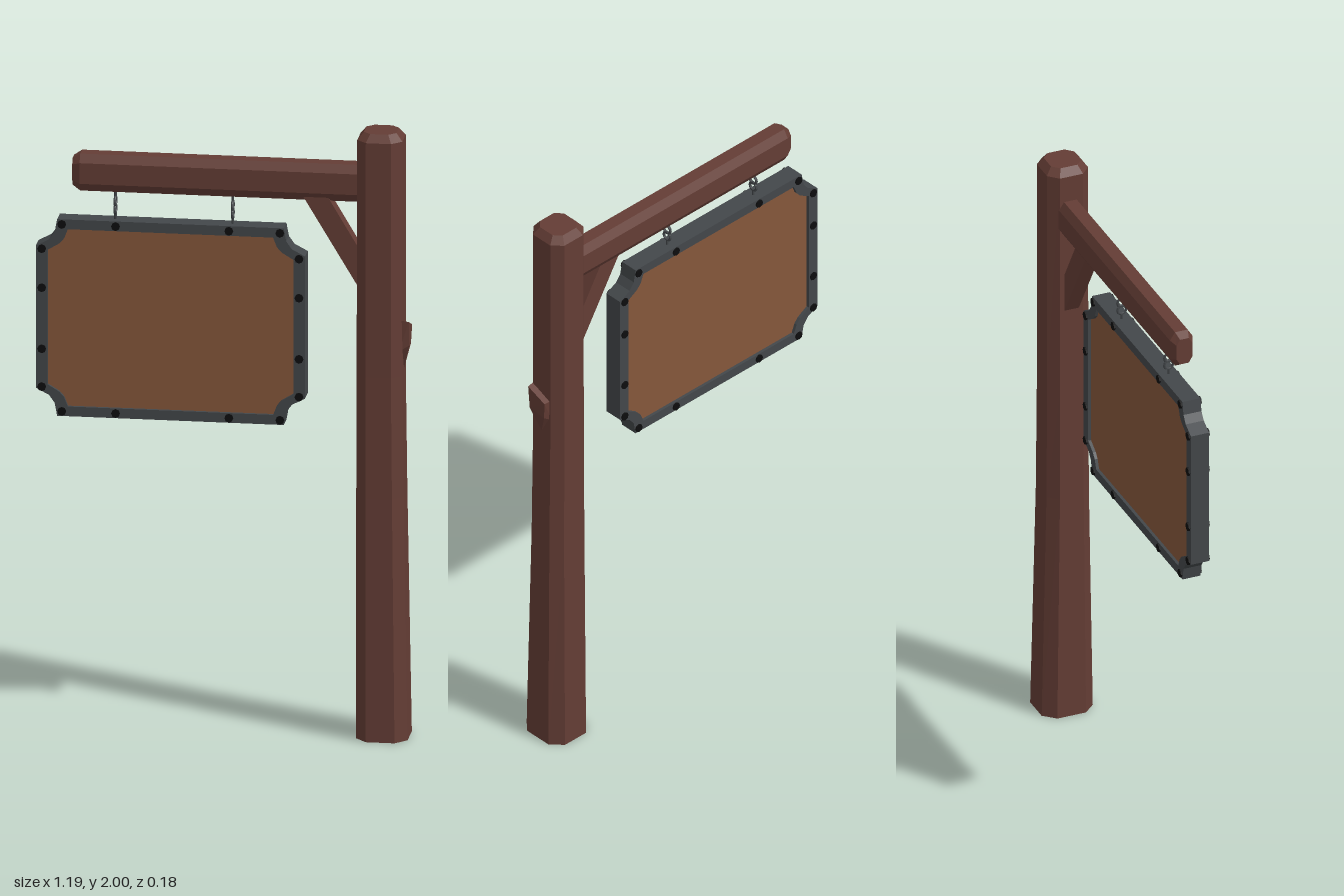
import * as THREE from 'three';
import { ConvexGeometry } from 'three/addons/geometries/ConvexGeometry.js';

const material = (name, color, flatShading = true) =>
  Object.assign(new THREE.MeshStandardMaterial({ color, flatShading }), { name });

// Eight-sided log along y; each ring is [y, centreX, halfX, halfZ]
function log(rings) {
  const loops = rings.map(([y, cx, rx, rz]) => {
    const k = 0.56;
    return [[1, -k], [k, -1], [-k, -1], [-1, -k], [-1, k], [-k, 1], [k, 1], [1, k]]
      .map(([x, z]) => [cx + x * rx, y, z * rz]);
  });
  const v = [];
  const tri = (a, b, c) => v.push(...a, ...b, ...c);
  for (let r = 0; r + 1 < loops.length; r++) {
    for (let i = 0; i < 8; i++) {
      const j = (i + 1) % 8, lo = loops[r], hi = loops[r + 1];
      tri(lo[i], lo[j], hi[j]);
      tri(lo[i], hi[j], hi[i]);
    }
  }
  const first = loops[0], last = loops[loops.length - 1];
  for (let i = 1; i < 7; i++) {
    tri(first[0], first[i + 1], first[i]);
    tri(last[0], last[i], last[i + 1]);
  }
  const g = new THREE.BufferGeometry();
  g.setAttribute('position', new THREE.Float32BufferAttribute(v, 3));
  g.computeVertexNormals();
  return g;
}

// Closed outline with four scooped corners, from the points of one corner
function scooped(corner) {
  const flip = (sx, sy) => corner.map(([x, y]) => new THREE.Vector2(x * sx, y * sy));
  return [...flip(1, 1), ...flip(-1, 1).reverse(), ...flip(-1, -1), ...flip(1, -1).reverse()];
}

function slab(shape, depth) {
  return new THREE.ExtrudeGeometry(shape, { depth, bevelEnabled: false }).translate(0, 0, -depth / 2);
}

export function createModel() {
  const wood = material('dark wood', 0x643d35);
  const board = material('board wood', 0x85573b);
  const iron = material('iron', 0x43474a);
  const black = material('black studs', 0x0d0d0e);
  const model = new THREE.Group();
  model.name = 'hangingSign';
  const add = (name, geometry, mat, parent = model) => {
    const mesh = new THREE.Mesh(geometry, mat);
    mesh.name = name;
    parent.add(mesh);
    return mesh;
  };

  // Post, flared at the foot
  add('post', log([
    [0, 0.508, 0.082, 0.088], [0.8, 0.501, 0.076, 0.073], [1.2, 0.499, 0.073, 0.071],
    [1.975, 0.5, 0.072, 0.071], [2, 0.5, 0.052, 0.052],
  ]), wood);

  // Splintered stub on the side of the post
  add('splinter', new ConvexGeometry([
    [0.56, 1.385, 0.042], [0.56, 1.35, -0.037], [0.593, 1.38, 0.04], [0.593, 1.35, -0.035],
    [0.593, 1.3, 0.033], [0.59, 1.29, -0.03], [0.56, 1.28, 0.04], [0.56, 1.27, -0.035],
    [0.572, 1.215, 0],
  ].map((p) => new THREE.Vector3(...p))), wood);

  // Cross beam, with a chamfered free end
  const beam = add('beam', log([
    [-0.45, 1.825, 0.061, 0.039], [0.46, 1.825, 0.061, 0.039], [0.485, 1.825, 0.045, 0.027],
  ]), wood);
  beam.rotation.z = Math.PI / 2;
  beam.position.z = -0.004;

  // Diagonal brace under the beam
  const braceShape = new THREE.Shape([
    [0.245, 1.79], [0.45, 1.45], [0.45, 1.58], [0.325, 1.79],
  ].map((p) => new THREE.Vector2(...p)));
  add('brace', slab(braceShape, 0.05), wood);

  // Sign board in its iron frame
  const sign = new THREE.Group();
  sign.name = 'sign';
  sign.position.set(-0.17, 1.345, 0);
  model.add(sign);
  const outer = scooped([[0.43, 0.235], [0.388, 0.257], [0.37, 0.282], [0.362, 0.325]]);
  const inner = scooped([[0.393, 0.222], [0.355, 0.245], [0.34, 0.262], [0.328, 0.293]]);
  const frame = new THREE.Shape(outer);
  frame.holes.push(new THREE.Path(inner));
  add('frame', slab(frame, 0.062), iron, sign);
  add('panel', slab(new THREE.Shape(inner), 0.042), board, sign);

  // Studs on both faces of the frame
  const studs = new THREE.Group();
  studs.name = 'studs';
  sign.add(studs);
  const stud = new THREE.CylinderGeometry(0.014, 0.014, 0.072, 8).rotateX(Math.PI / 2);
  const spots = [];
  for (const s of [-1, 1]) {
    for (const x of [-0.347, -0.175, 0.187, 0.35]) spots.push([x, s * 0.309]);
    for (const y of [-0.23, -0.105, 0.097, 0.226]) spots.push([s * 0.411, y]);
  }
  for (const [x, y] of spots) add('stud', stud, black, studs).position.set(x, y, 0);

  // Two hangers: pin from the beam, linked rings and pin into the frame
  const ring = new THREE.TorusGeometry(0.015, 0.0045, 6, 12).rotateY(Math.PI / 2);
  const pin = new THREE.CylinderGeometry(0.0045, 0.0045, 0.04, 6);
  for (const x of [-0.35, 0.025]) {
    const hanger = new THREE.Group();
    hanger.name = 'hanger';
    hanger.position.x = x;
    model.add(hanger);
    add('upperPin', pin, iron, hanger).position.y = 1.763;
    add('upperRing', ring, iron, hanger).position.y = 1.729;
    add('lowerRing', ring, iron, hanger).position.y = 1.703;
    add('lowerPin', pin, iron, hanger).position.y = 1.67;
  }
  return model;
}
